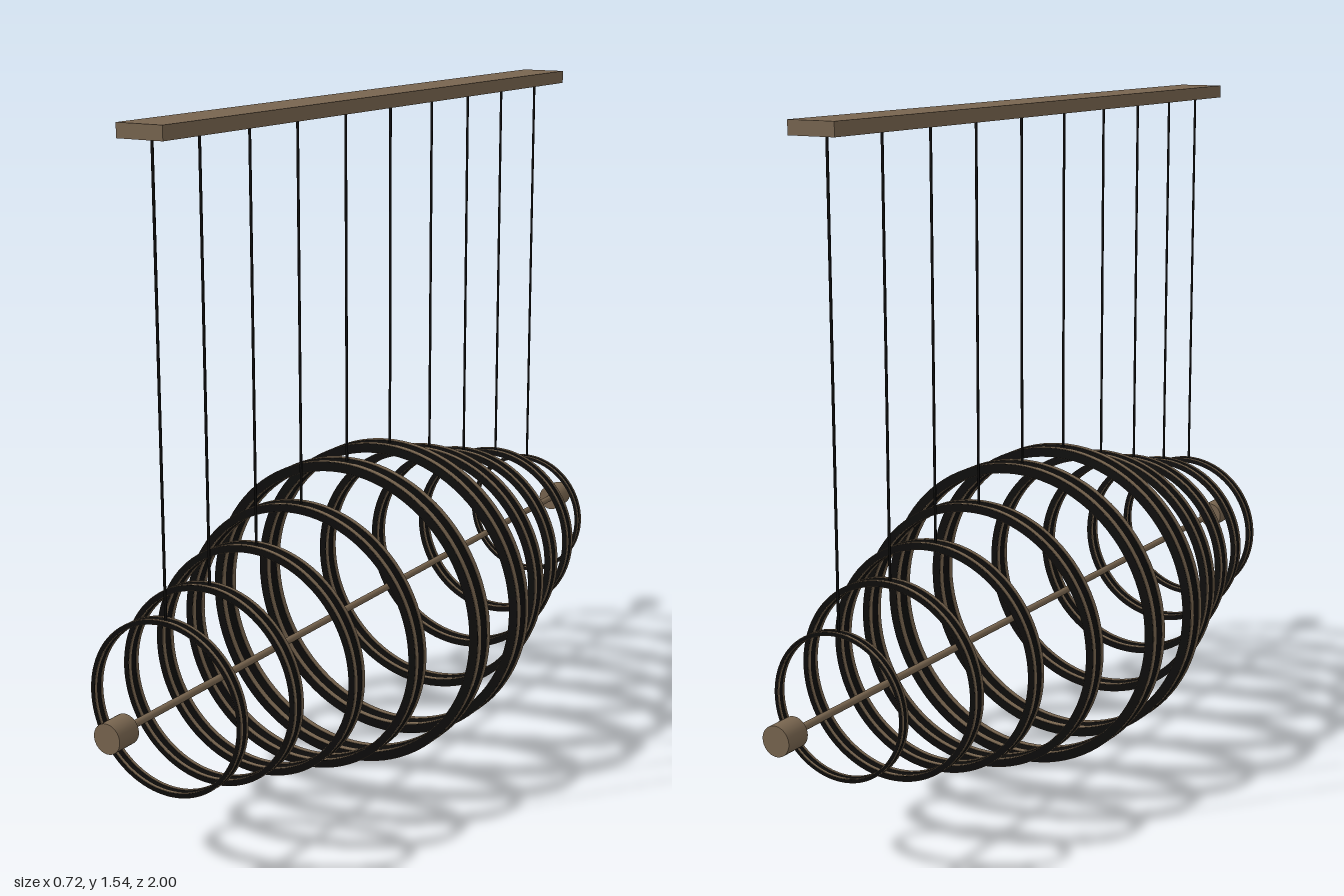
import * as THREE from 'three';
import { toCreasedNormals } from 'three/addons/utils/BufferGeometryUtils.js';

const bronze = new THREE.MeshStandardMaterial({ color: 0x78654f });
const black = new THREE.MeshStandardMaterial({ color: 0x0c0b0a });
const AXIS_Y = 0.36;
const PLATE_BOTTOM = 1.51;

function add(parent, name, geometry, material, x = 0, y = 0, z = 0) {
  const mesh = new THREE.Mesh(geometry, material);
  mesh.name = name;
  mesh.position.set(x, y, z);
  parent.add(mesh);
  return mesh;
}

// Ring of rectangular section around the z axis
function hoop(inner, outer, z0, z1) {
  const profile = [[inner, z0], [outer, z0], [outer, z1], [inner, z1], [inner, z0]]
    .map(([r, z]) => new THREE.Vector2(r, z));
  const lathe = new THREE.LatheGeometry(profile, 96).rotateX(Math.PI / 2);
  return toCreasedNormals(lathe, 0.6);
}

function rod(radius, length, sides) {
  return new THREE.CylinderGeometry(radius, radius, length, sides);
}

export function createModel() {
  const model = new THREE.Group();
  model.name = 'ringChandelier';

  // Ceiling plate
  add(model, 'ceilingPlate', new THREE.BoxGeometry(0.11, 0.03, 1.68), bronze, 0.003, 1.525, 0.012);

  // Central rod with a knob on each end
  add(model, 'centralRod', rod(0.008, 1.9, 16).rotateX(Math.PI / 2), bronze, -0.005, AXIS_Y, 0);
  for (const side of [-1, 1]) {
    add(model, 'endKnob', rod(0.032, 0.06, 32).rotateX(Math.PI / 2), bronze, -0.005, AXIS_Y, side * 0.97);
  }

  // Hanging rings: z position, outer radius, width
  const rings = [
    [0.81, 0.19, 0.027], [0.66, 0.22, 0.034], [0.49, 0.26, 0.041],
    [0.315, 0.307, 0.047], [0.126, 0.36, 0.057], [-0.064, 0.36, 0.057],
    [-0.252, 0.307, 0.047], [-0.427, 0.26, 0.041], [-0.6, 0.22, 0.034],
    [-0.782, 0.16, 0.022],
  ];
  for (const [z, radius, width] of rings) {
    const ring = new THREE.Group();
    ring.name = 'hangingRing';
    ring.position.set(0, AXIS_Y, z);
    model.add(ring);

    const inner = radius - width * 0.4;
    const half = width / 2;
    add(ring, 'ringCore', hoop(inner + 0.001, radius - 0.001, -half, half), black);

    // Bronze trim along both edges, outside and inside
    for (const side of [-1, 1]) {
      const a = side * half * 0.5, b = side * half * 0.97;
      const z0 = Math.min(a, b), z1 = Math.max(a, b);
      add(ring, 'outerTrim', hoop(radius - 0.002, radius, z0, z1), bronze);
      add(ring, 'innerTrim', hoop(inner, inner + 0.002, z0, z1), bronze);
    }

    // Suspension cable from plate to ring
    const top = AXIS_Y + radius - 0.002;
    const length = PLATE_BOTTOM - top;
    add(model, 'cable', rod(0.003, length, 8), black, 0, top + length / 2, z);
  }

  return model;
}
